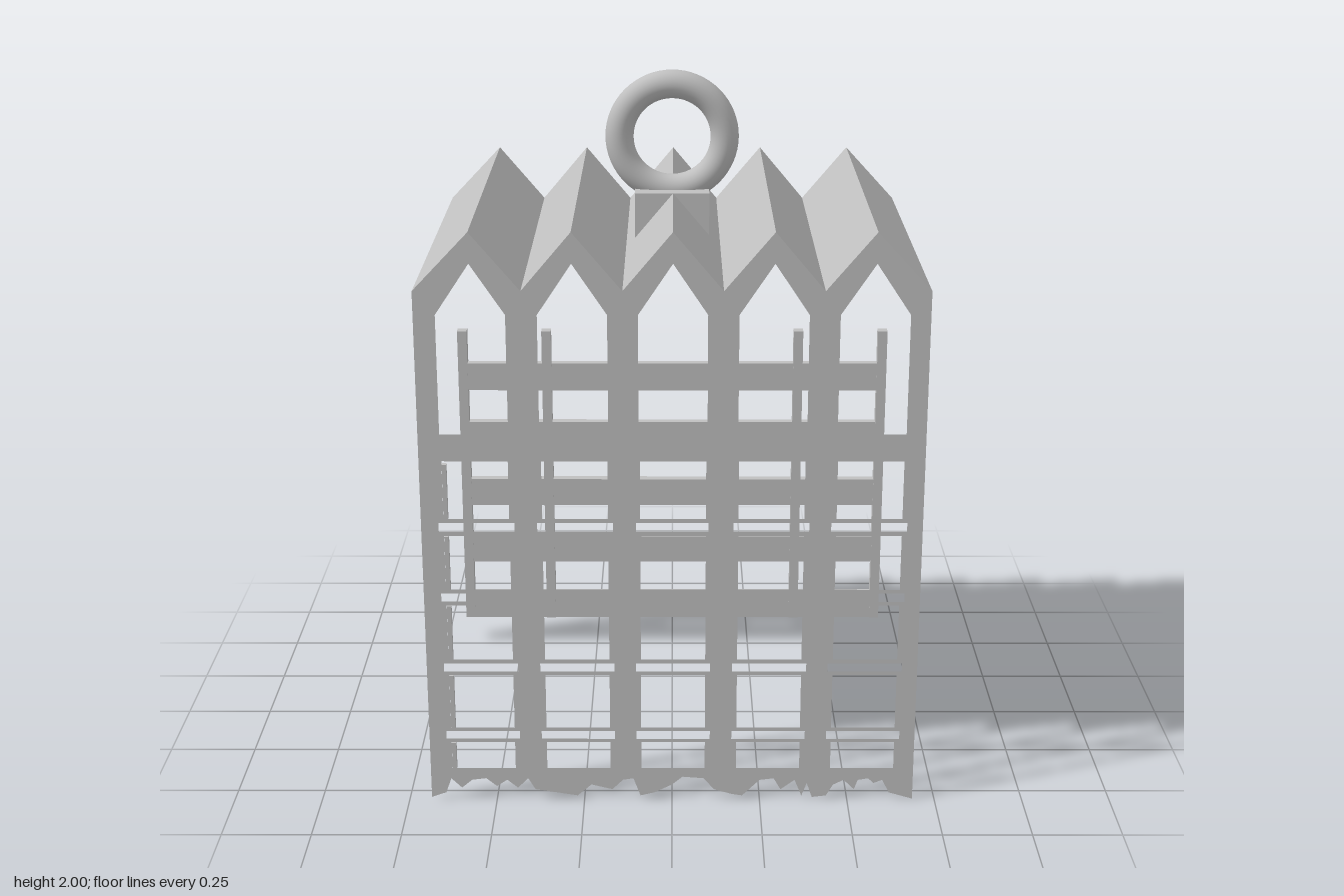
import * as THREE from 'three';

const steel = new THREE.MeshStandardMaterial({ color: 0xbfbfbf });
steel.name = 'grey';
const sheetSteel = steel;
sheetSteel.side = THREE.DoubleSide;

const BAYS = [-0.535, -0.265, 0.003, 0.272, 0.54];
const EDGE = 0.687, PEAK = 1.665, VALLEY = 1.505;
const FRONT = 0.546, BACK = -0.55;

// Zigzag roof line, left to right
function roofLine() {
  const pts = [[-EDGE, VALLEY]];
  BAYS.forEach((x, i) => {
    pts.push([x, PEAK]);
    pts.push(i < 4 ? [(x + BAYS[i + 1]) / 2, VALLEY] : [EDGE, VALLEY]);
  });
  return pts;
}

function toShape(pts) {
  return new THREE.Shape(pts.map(([x, y]) => new THREE.Vector2(x, y)));
}

function add(parent, name, geometry, x = 0, y = 0, z = 0) {
  const mesh = new THREE.Mesh(geometry, steel);
  mesh.name = name;
  mesh.position.set(x, y, z);
  parent.add(mesh);
  return mesh;
}

function addBox(parent, name, x0, x1, y0, y1, z0, z1) {
  return add(parent, name, new THREE.BoxGeometry(x1 - x0, y1 - y0, z1 - z0),
    (x0 + x1) / 2, (y0 + y1) / 2, (z0 + z1) / 2);
}

// Pierced front sheet with pointed windows, slots and a torn lower edge
function frontSheet() {
  const torn = [
    [0.687, 0], [0.62, 0.02], [0.6, 0.06], [0.575, 0.05], [0.56, 0.065], [0.53, 0.06],
    [0.52, 0.03], [0.49, 0.06], [0.46, 0.045], [0.44, 0.01], [0.4, 0.005], [0.385, 0.05],
    [0.37, 0.01], [0.35, 0.06], [0.31, 0.03], [0.29, 0.065], [0.25, 0.06], [0.23, 0.04],
    [0.2, 0.01], [0.17, 0.015], [0.12, 0.03], [0.09, 0.065], [0.03, 0.07], [0, 0.045],
    [-0.05, 0.02], [-0.09, 0.01], [-0.11, 0.065], [-0.14, 0.06], [-0.17, 0.03], [-0.23, 0.045],
    [-0.27, 0.01], [-0.33, 0.02], [-0.39, 0.03], [-0.41, 0.065], [-0.44, 0.035], [-0.47, 0.06],
    [-0.5, 0.04], [-0.53, 0.065], [-0.57, 0.06], [-0.6, 0.035], [-0.63, 0.065], [-0.645, 0.02],
    [-0.687, 0.005],
  ];
  const shape = toShape([...roofLine(), ...torn]);
  const hole = (pts) => shape.holes.push(new THREE.Path(pts.map(([x, y]) => new THREE.Vector2(x, y))));
  const rect = (x, w, y0, y1) => hole([[x - w, y0], [x + w, y0], [x + w, y1], [x - w, y1]]);
  for (const x of BAYS) {
    hole([[x - 0.093, 1.105], [x + 0.093, 1.105], [x + 0.093, 1.44], [x, 1.58], [x - 0.093, 1.44]]);
    for (const [y0, y1] of ROWS) rect(x, 0.09, y0, y1);
    for (const y of [0.836, 0.626, 0.413, 0.203]) rect(x, 0.104, y - 0.0125, y + 0.0125);
  }
  return new THREE.ShapeGeometry(shape);
}

const ROWS = [[0.86, 1.028], [0.65, 0.81], [0.438, 0.602], [0.226, 0.39], [0.098, 0.18]];

export function createModel() {
  const model = new THREE.Group();
  model.name = 'cage';

  add(model, 'frontSheet', frontSheet(), 0, 0, FRONT);

  // Narrow upright strips inside the left column of openings
  for (const [y0, y1] of ROWS) {
    addBox(model, 'edgeStrip', -0.624, -0.612, y0, Math.min(y1, 1.02), FRONT - 0.008, FRONT + 0.006);
  }

  // Folded roof
  const top = roofLine();
  const under = top.map(([x, y]) => [x, y - 0.03]).reverse();
  add(model, 'roof', new THREE.ExtrudeGeometry(toShape([...top, ...under]),
    { depth: FRONT - 0.001 - BACK, bevelEnabled: false }), 0, 0, BACK);

  // Rear fence
  const fence = new THREE.Group();
  fence.name = 'rearFence';
  model.add(fence);
  for (let i = 0; i < 6; i++) {
    const x = -0.67 + i * 0.268;
    addBox(fence, 'rearPost', x - 0.015, x + 0.015, 0.085, 1.078, -0.552, -0.52);
  }
  for (const y of [0.085, 0.285, 0.485, 0.682, 0.88]) {
    addBox(fence, 'rearRail', -0.67, 0.67, y, y + 0.09, -0.55, -0.522);
  }

  // Hanging ring on its block
  addBox(model, 'ringBlock', -0.105, 0.105, 1.53, 1.665, -0.075, 0.09);
  add(model, 'ring', new THREE.TorusGeometry(0.149, 0.04, 24, 64), 0, 1.811, 0.007);

  return model;
}
